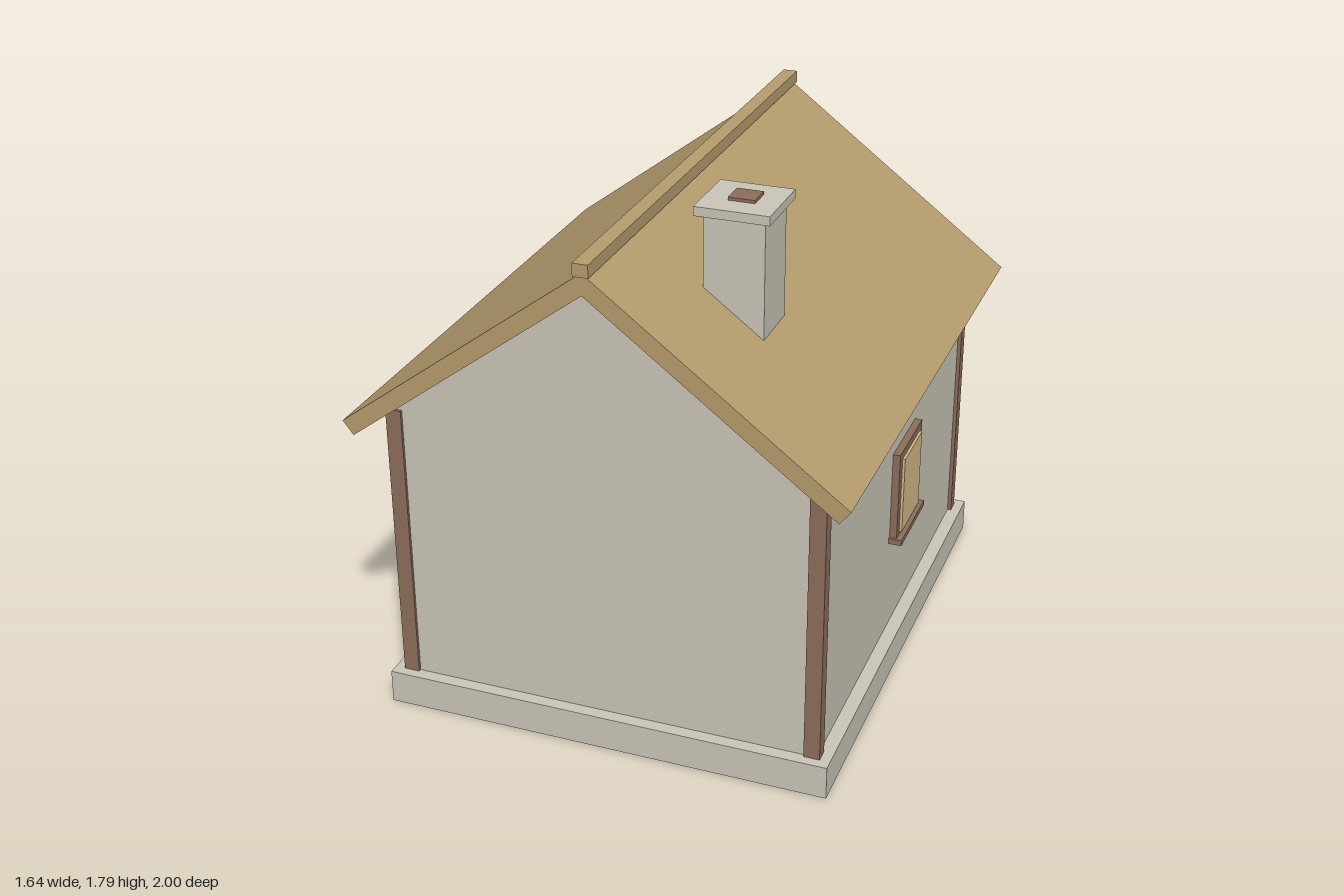
import * as THREE from 'three';

const mat = (name, color) => {
  const m = new THREE.MeshStandardMaterial({ color });
  m.name = name;
  return m;
};

export function createModel() {
  const house = new THREE.Group();
  house.name = 'cottage';

  const stone = mat('pale stone', 0xcbc6b9);
  const thatch = mat('straw roof', 0xb69d6e);
  const wood = mat('brown wood', 0x8d6e5a);
  const glass = mat('warm glass', 0xd4bc8a);
  const metal = mat('grey metal', 0x9a9a98);
  const white = mat('white petals', 0xdedad2);
  const gold = mat('gold petals', 0xc9a455);

  const add = (name, geometry, material, parent = house) => {
    const mesh = new THREE.Mesh(geometry, material);
    mesh.name = name;
    parent.add(mesh);
    return mesh;
  };
  // Box given by its extents along each axis
  const box = (name, material, [x0, x1], [y0, y1], [z0, z1], parent) => {
    const mesh = add(name, new THREE.BoxGeometry(x1 - x0, y1 - y0, z1 - z0), material, parent);
    mesh.position.set((x0 + x1) / 2, (y0 + y1) / 2, (z0 + z1) / 2);
    return mesh;
  };
  // Outline in x and y, extruded from z0 to z1
  const slab = (name, material, points, z0, z1) => {
    const shape = new THREE.Shape(points.map(([x, y]) => new THREE.Vector2(x, y)));
    const geometry = new THREE.ExtrudeGeometry(shape, { depth: z1 - z0, bevelEnabled: false });
    add(name, geometry, material).position.z = z0;
  };

  // Base, doorstep and gabled walls
  box('foundation', stone, [-0.757, 0.757], [0, 0.115], [-0.845, 0.933]);
  box('doorstep', stone, [-0.485, 0.065], [0.085, 0.13], [-1, -0.84]);
  slab('walls', stone, [[-0.71, 0.11], [0.71, 0.11], [0.71, 1.085], [0, 1.625], [-0.71, 1.085]], -0.795, 0.89);

  // Timber frame
  for (const s of [-1, 1]) {
    for (const z of [[-0.81, -0.762], [0.853, 0.9]]) {
      box('cornerPost', wood, s > 0 ? [0.67, 0.723] : [-0.723, -0.67], [0.115, 1.085], z);
    }
  }
  box('backBeam', wood, [-0.67, 0.67], [1.035, 1.085], [-0.81, -0.765]);

  // Roof and ridge
  slab('roof', thatch,
    [[-0.787, 1.027], [0, 1.62], [0.787, 1.027], [0.822, 1.072], [0, 1.691], [-0.822, 1.072]],
    -0.908, 0.993);
  box('ridge', thatch, [-0.025, 0.025], [1.68, 1.722], [-0.915, 1]);

  // Chimney
  box('chimney', stone, [0.225, 0.42], [1.3, 1.755], [0.403, 0.6]);
  box('chimneyCap', stone, [0.2, 0.44], [1.755, 1.785], [0.38, 0.62]);
  box('flue', wood, [0.28, 0.365], [1.785, 1.795], [0.455, 0.537]);

  // Side window with sill
  const sideWindow = new THREE.Group();
  sideWindow.name = 'sideWindow';
  house.add(sideWindow);
  box('frame', wood, [0.7, 0.735], [0.465, 0.79], [-0.172, 0.106], sideWindow);
  box('pane', glass, [0.735, 0.744], [0.485, 0.762], [-0.14, 0.075], sideWindow);
  box('sill', wood, [0.7, 0.755], [0.455, 0.475], [-0.178, 0.116], sideWindow);

  // Back window with flower box
  const backWindow = new THREE.Group();
  backWindow.name = 'backWindow';
  house.add(backWindow);
  box('frame', wood, [0.11, 0.43], [0.455, 0.83], [-0.827, -0.79], backWindow);
  box('pane', glass, [0.145, 0.395], [0.485, 0.797], [-0.836, -0.827], backWindow);
  box('flowerBox', wood, [0.108, 0.42], [0.415, 0.468], [-0.905, -0.79], backWindow);
  [0.14, 0.215, 0.3, 0.378].forEach((x, i) => {
    const flower = add('flower', new THREE.SphereGeometry(0.025, 10, 8), i % 3 ? white : gold, backWindow);
    flower.position.set(x, 0.497, -0.867);
    flower.scale.y = 0.8;
    const stem = add('stem', new THREE.CylinderGeometry(0.006, 0.006, 0.03, 6), wood, backWindow);
    stem.position.set(x, 0.475, -0.867);
  });

  // Back door
  box('door', wood, [-0.46, 0.012], [0.115, 0.925], [-0.82, -0.79]);
  box('doorLintel', wood, [-0.46, 0.012], [0.925, 0.943], [-0.825, -0.79]);
  box('doorHandle', metal, [-0.088, -0.075], [0.485, 0.535], [-0.835, -0.815]);

  return house;
}
